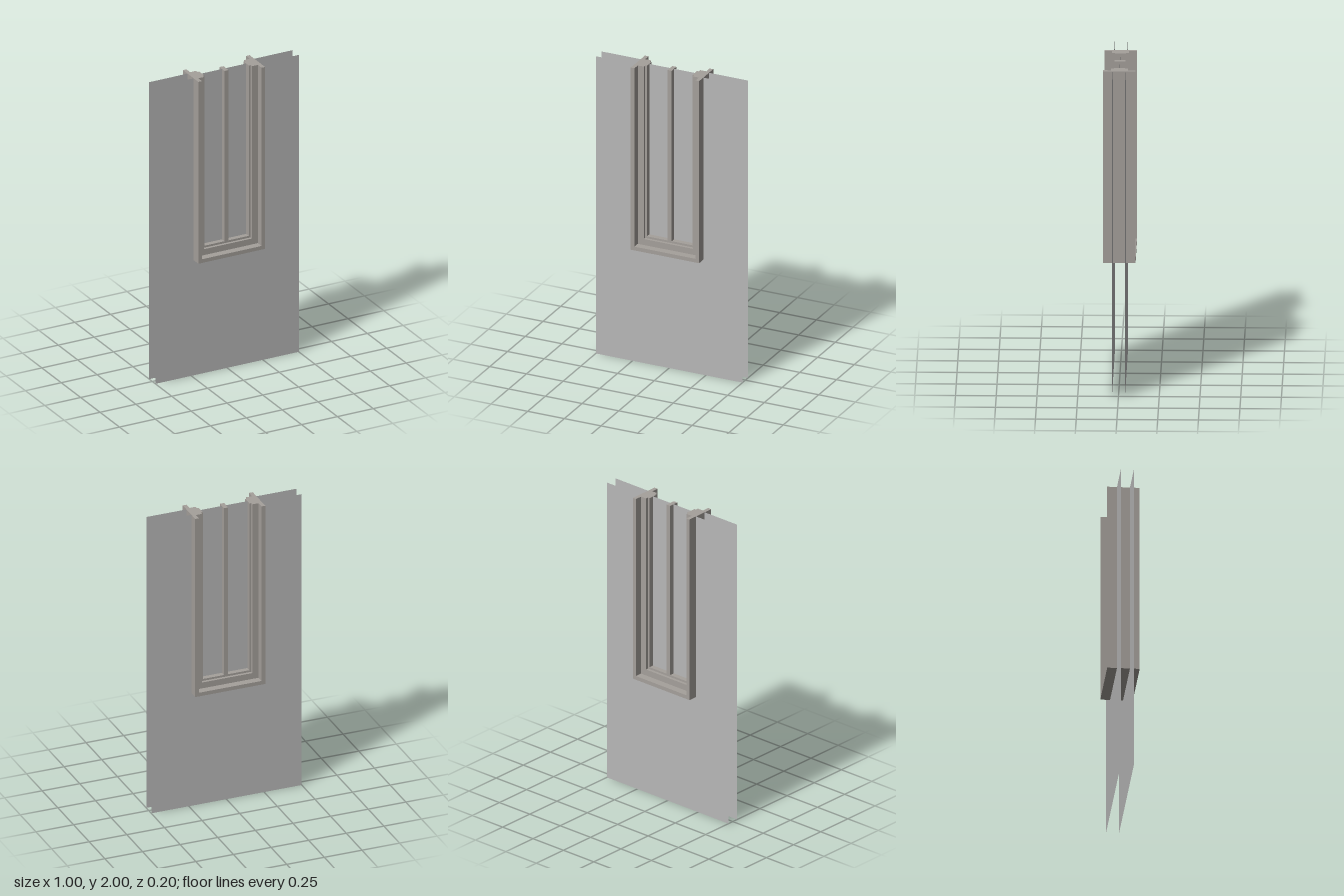
import * as THREE from 'three';

const TOP = 2;

// U-shaped outline, open at the top: outer half width/bottom to inner half width/bottom
function uShape(xo, yo, xi, yi) {
  return new THREE.Shape([
    [-xo, TOP], [-xo, yo], [xo, yo], [xo, TOP],
    [xi, TOP], [xi, yi], [-xi, yi], [-xi, TOP],
  ].map(([x, y]) => new THREE.Vector2(x, y)));
}

export function createModel() {
  const group = new THREE.Group();
  const frameMat = new THREE.MeshStandardMaterial({ name: 'taupeFrame', color: 0xa5a09b });
  const wallMat = new THREE.MeshStandardMaterial({ name: 'greyWall', color: 0xb8b8b8, side: THREE.DoubleSide });

  const add = (name, geometry, material, x = 0, y = 0, z = 0) => {
    const mesh = new THREE.Mesh(geometry, material);
    mesh.name = name;
    mesh.position.set(x, y, z);
    group.add(mesh);
  };

  // Two thin wall sheets with the window opening cut out
  for (const [name, z] of [['frontWall', 0.04], ['backWall', -0.04]]) {
    add(name, new THREE.ShapeGeometry(uShape(0.5, 0, 0.22, 0.785)), wallMat, 0, 0, z);
  }

  // Stepped frame: each inner ring is shallower than the one around it
  const rings = [
    ['outerFrame', 0.233, 0.775, 0.208, 0.8, 0.1],
    ['middleFrame', 0.208, 0.8, 0.167, 0.84, 0.052],
    ['innerFrame', 0.167, 0.84, 0.155, 0.853, 0.033],
  ];
  for (const [name, xo, yo, xi, yi, halfDepth] of rings) {
    const geometry = new THREE.ExtrudeGeometry(uShape(xo, yo, xi, yi), { depth: 2 * halfDepth, bevelEnabled: false });
    add(name, geometry, frameMat, 0, 0, -halfDepth);
  }

  // Centre mullion
  const bottom = 0.853, height = TOP - bottom;
  add('mullion', new THREE.BoxGeometry(0.028, height, 0.066), frameMat, 0, bottom + height / 2);

  // Panes on either side of the mullion
  for (const [name, side] of [['leftPane', 1], ['rightPane', -1]]) {
    add(name, new THREE.PlaneGeometry(0.141, height), wallMat, side * 0.0845, bottom + height / 2);
  }

  return group;
}
